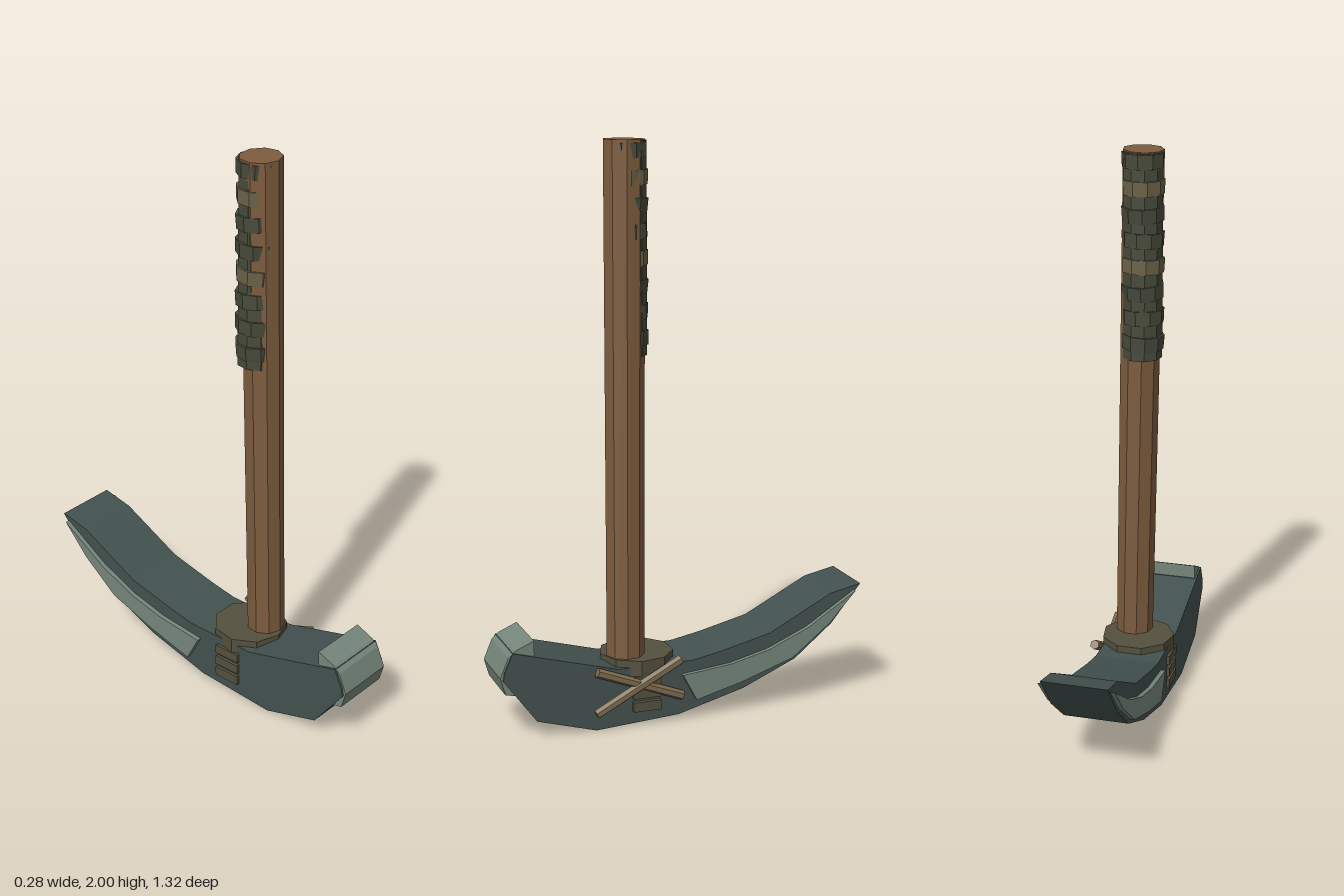
import * as THREE from 'three';

const mat = (name, color) => {
  const m = new THREE.MeshStandardMaterial({ color, flatShading: true });
  m.name = name;
  return m;
};

export function createModel() {
  const group = new THREE.Group();
  const iron = mat('dark iron', 0x42514f);
  const edge = mat('worn steel', 0x75857a);
  const wood = mat('handle wood', 0x7d5c3e);
  const collarMat = mat('collar leather', 0x55503e);
  const stick = mat('pale wood', 0x7d6b4e);
  const cloth = mat('dark cloth', 0x474a3b);
  const tan = mat('tan cloth', 0x6b6248);

  const add = (name, geometry, material) => {
    const m = new THREE.Mesh(geometry, material);
    m.name = name;
    group.add(m);
    return m;
  };
  // Side outline as [z, y] pairs, extruded across x0..x1
  const slab = (pts, x0, x1) => {
    const shape = new THREE.Shape(pts.map(([z, y]) => new THREE.Vector2(-z, y)));
    return new THREE.ExtrudeGeometry(shape, { depth: x1 - x0, bevelEnabled: false })
      .rotateY(Math.PI / 2).translate(x0, 0, 0);
  };
  // Tapered rod between two points
  const rod = (name, a, b, ra, rb, sides, material) => {
    const A = new THREE.Vector3(...a), B = new THREE.Vector3(...b);
    const d = B.clone().sub(A);
    const m = add(name, new THREE.CylinderGeometry(rb, ra, d.length(), sides), material);
    m.position.copy(A).add(B).multiplyScalar(0.5);
    m.quaternion.setFromUnitVectors(new THREE.Vector3(0, 1, 0), d.normalize());
    return m;
  };

  // Curved pick head
  add('head', slab([
    [0.62, 0.315], [0.25, 0.215], [-0.02, 0.215], [-0.125, 0.235], [-0.31, 0.28],
    [-0.54, 0.4], [-0.655, 0.425], [-0.545, 0.29], [-0.405, 0.175], [-0.21, 0.09],
    [0.03, 0.025], [0.33, 0.005], [0.54, 0.065], [0.655, 0.22], [0.65, 0.25],
  ], -0.127, 0.101), iron);

  // Worn blade faces on both sides
  const blade = [
    [0.02, 0.17], [-0.16, 0.19], [-0.3, 0.225], [-0.45, 0.29], [-0.63, 0.405],
    [-0.53, 0.295], [-0.39, 0.185], [-0.2, 0.12], [-0.03, 0.075],
  ];
  add('leftBladeFace', slab(blade, 0.1, 0.118), edge);
  add('rightBladeFace', slab(blade, -0.144, -0.126), edge);

  // Bent plate around the blunt end
  add('hammerPlate', slab([
    [0.545, 0.35], [0.61, 0.322], [0.635, 0.3], [0.664, 0.23], [0.647, 0.17],
    [0.59, 0.16], [0.6, 0.25], [0.545, 0.3],
  ], -0.12, 0.095), edge);

  // Collar on top of the head, with straps down the sides
  const collar = add('collar', new THREE.CylinderGeometry(0.13, 0.13, 0.06, 9), collarMat);
  collar.position.set(-0.008, 0.21, 0.15);
  for (const y of [0.075, 0.122, 0.168]) {
    const s = add('strap', new THREE.BoxGeometry(0.256, 0.034, 0.1), collarMat);
    s.position.set(-0.01, y, 0.15);
  }

  // Crossed pegs on the left side
  rod('crossPeg', [0.121, 0.07, 0.335], [0.121, 0.232, 0.03], 0.017, 0.017, 6, stick);
  rod('crossPeg', [0.115, 0.217, 0.33], [0.115, 0.098, 0.022], 0.017, 0.017, 6, stick);

  // Slightly leaning handle
  rod('handle', [0.022, 0.06, 0.2], [-0.014, 1.999, 0.182], 0.066, 0.071, 9, wood);

  // Grip wrap: wide bands alternating with narrower filler turns
  const bands = 8, pitch = 0.715 / bands;
  for (let i = 0; i < bands; i++) {
    const y = 1.28 + i * pitch;
    const fill = add('wrapFiller', new THREE.CylinderGeometry(0.068, 0.068, pitch, 9), cloth);
    fill.position.set(-0.014, y + pitch / 2, 0.174);
    const band = add('wrapBand', new THREE.CylinderGeometry(0.074, 0.072, 0.05, 9),
      i === 3 || i === 6 ? tan : cloth);
    band.position.set(-0.0155, y + pitch - 0.03, 0.174);
    band.rotation.set(0.04 * Math.sin(i * 2.3), i * 0.25, 0.05 * Math.cos(i * 1.7));
  }
  return group;
}
